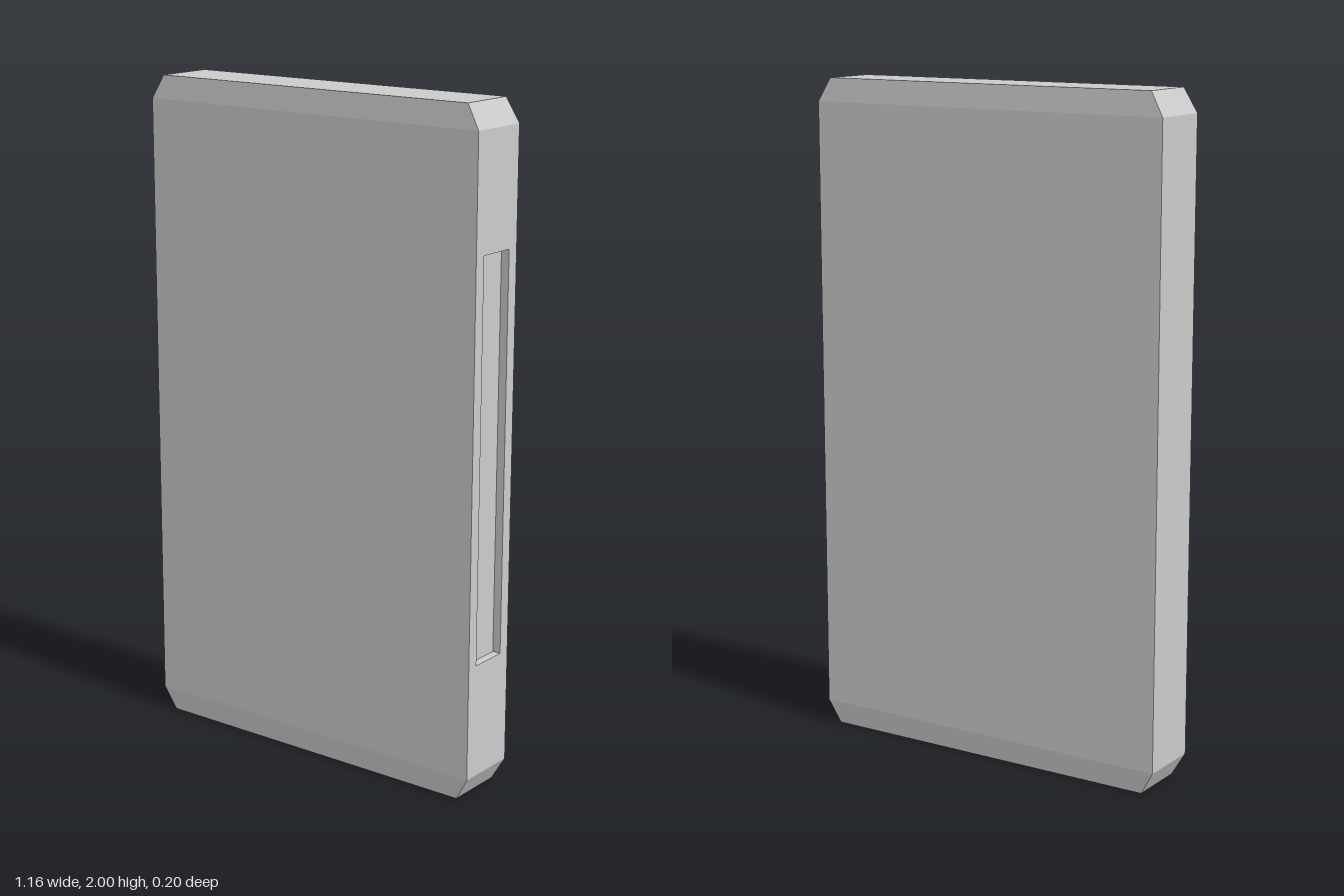
import * as THREE from 'three';

const material = new THREE.MeshStandardMaterial({ color: 0xcccccc, flatShading: true });

// Collects flat quads; corners run counter-clockwise seen from outside.
function quadBuilder() {
  const points = [];
  const quad = (a, b, c, d) => points.push(...a, ...b, ...c, ...a, ...c, ...d);
  const bridge = (lower, upper, skip = -1) => {
    for (let i = 0; i < 4; i++) {
      const j = (i + 1) % 4;
      if (i !== skip) quad(lower[i], lower[j], upper[j], upper[i]);
    }
  };
  const mesh = (name) => {
    const geometry = new THREE.BufferGeometry();
    geometry.setAttribute('position', new THREE.Float32BufferAttribute(points, 3));
    geometry.computeVertexNormals();
    const result = new THREE.Mesh(geometry, material);
    result.name = name;
    return result;
  };
  return { quad, bridge, mesh };
}

// Horizontal rectangle at height y
const ring = (y, w, d) => [[w, y, d], [w, y, -d], [-w, y, -d], [-w, y, d]];
// Upright rectangle facing +x
const sideLoop = (x, y0, y1, d) => [[x, y0, d], [x, y0, -d], [x, y1, -d], [x, y1, d]];

export function createModel() {
  const group = new THREE.Group();
  group.name = 'slab';
  const W = 0.58, D = 0.098, endW = 0.54, endD = 0.091, H = 2, bevel = 0.07;

  // Body with tapered ends; the +x side is left open for the slotted panel
  const body = quadBuilder();
  const rings = [ring(0, endW, endD), ring(bevel, W, D), ring(H - bevel, W, D), ring(H, endW, endD)];
  for (let i = 0; i < 3; i++) body.bridge(rings[i], rings[i + 1], i === 1 ? 0 : -1);
  body.quad(...rings[3]);
  body.quad(...rings[0].slice().reverse());
  group.add(body.mesh('body'));

  // Side panel around the slot
  const outer = sideLoop(W, bevel, H - bevel, D);
  const rim = sideLoop(W, 0.41, 1.59, 0.061);
  const floor = sideLoop(W - 0.025, 0.41, 1.59, 0.061);
  const panel = quadBuilder();
  panel.bridge(outer, rim);
  group.add(panel.mesh('sidePanel'));

  // Shallow recess: walls and floor
  const slot = quadBuilder();
  slot.bridge(rim, floor);
  slot.quad(...floor);
  group.add(slot.mesh('sideSlot'));

  return group;
}
